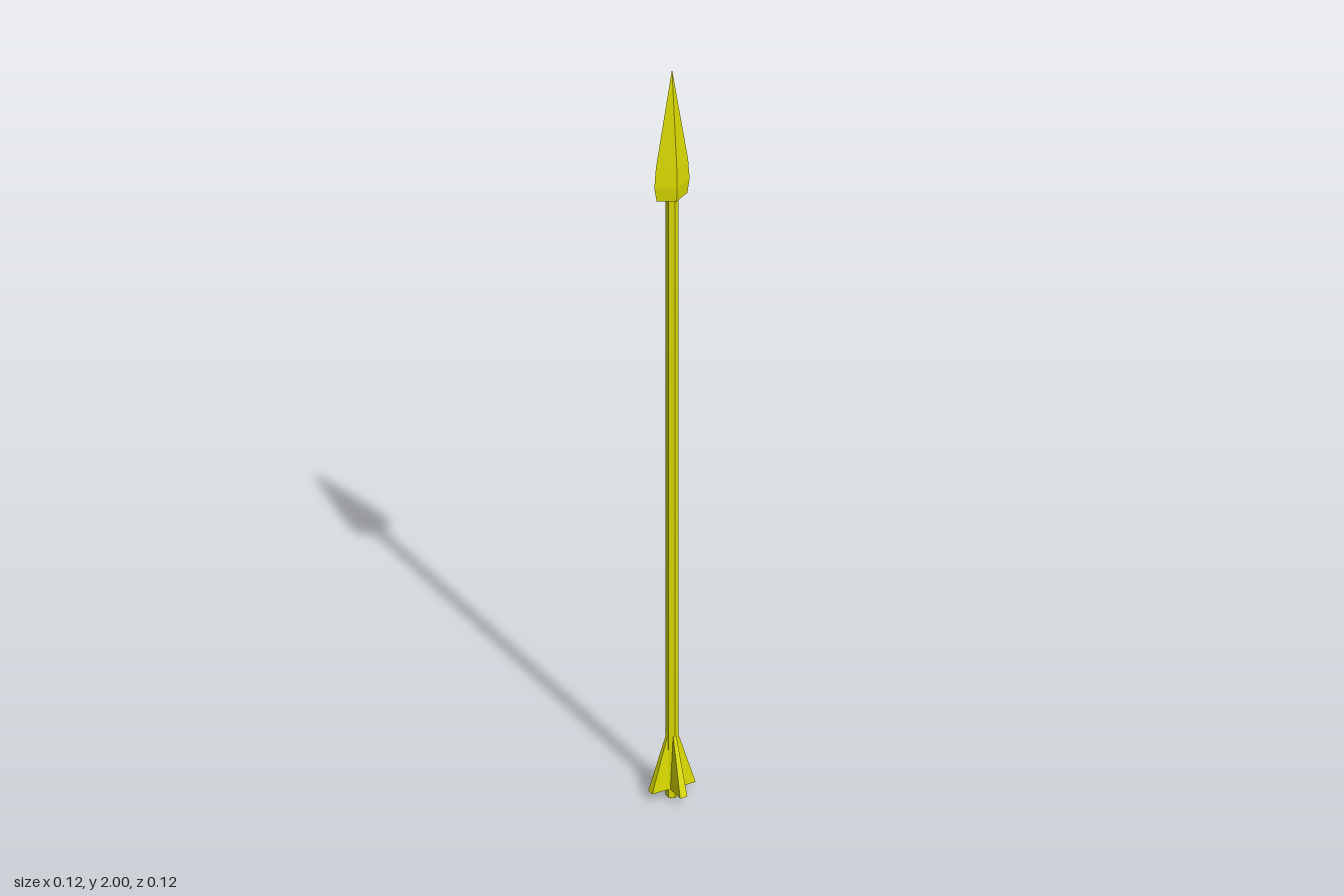
import * as THREE from 'three';

// Wedge-shaped fin pointing along +x: broad at the foot, narrowing to the shaft at the top
function finGeometry() {
  const geo = new THREE.BoxGeometry(0.058, 0.15, 0.019);
  const pos = geo.attributes.position;
  for (let i = 0; i < pos.count; i++) {
    const outer = pos.getX(i) > 0;
    const top = pos.getY(i) > 0;
    pos.setXYZ(
      i,
      outer ? (top ? 0.012 : 0.058) : 0,
      top ? 0.175 : 0.024,
      pos.getZ(i) * (top ? 0.4 : 1)
    );
  }
  geo.computeVertexNormals();
  return geo;
}

export function createModel() {
  const model = new THREE.Group();
  model.name = 'arrow';
  const yellow = new THREE.MeshStandardMaterial({ color: 0xdcdc00 });
  yellow.name = 'yellow';
  yellow.flatShading = true;

  const add = (name, geometry) => {
    const mesh = new THREE.Mesh(geometry, yellow);
    mesh.name = name;
    model.add(mesh);
    return mesh;
  };

  // Six-sided shaft with ridges facing front and back
  const shaft = add('shaft', new THREE.CylinderGeometry(0.015, 0.015, 1.66, 6));
  shaft.position.y = 0.83;

  // Flattened four-sided arrowhead, tucked in at its base
  const profile = [[0, 1.648], [0.041, 1.648], [0.047, 1.685], [0.043, 1.74], [0, 2]]
    .map(([r, y]) => new THREE.Vector2(r, y));
  add('arrowhead', new THREE.LatheGeometry(profile, 4)).scale.z = 0.55;

  // Four fins around the tail
  const fin = finGeometry();
  for (let i = 0; i < 4; i++) add('fin' + (i + 1), fin).rotation.y = (i * Math.PI) / 2;

  return model;
}
